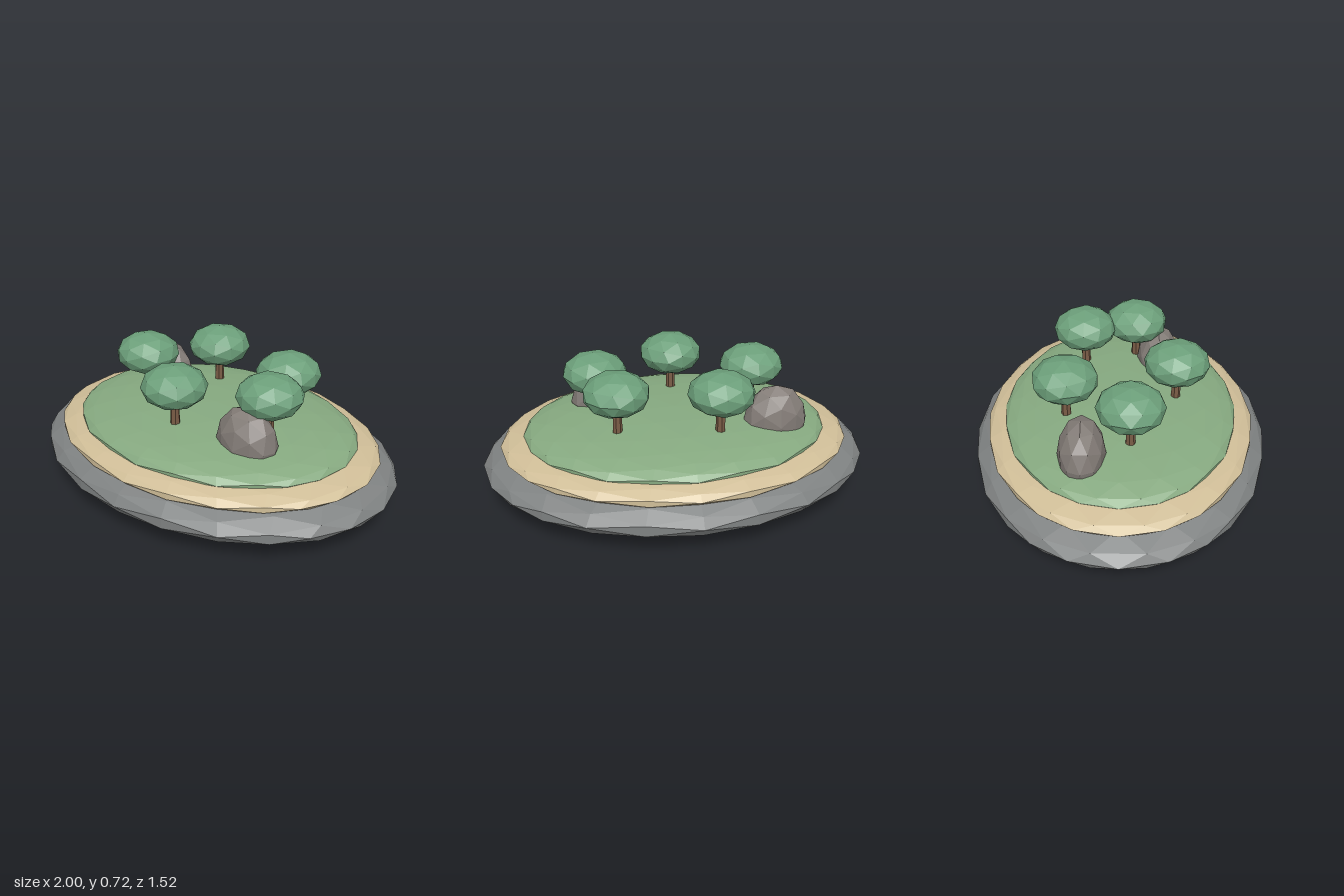
import * as THREE from 'three';

const material = (color) => new THREE.MeshStandardMaterial({ color, flatShading: true });
const mats = {
  stone: material(0x7f8282),
  sand: material(0xd0be98),
  grass: material(0x86a980),
  boulder: material(0x837c77),
  bark: material(0x7a5c46),
  leaves: material(0x6c9f7a),
};

// Faceted ellipsoid: a subdivided icosahedron stretched to three radii
function blob(name, mat, detail, [rx, ry, rz], [x, y, z], turn = 0) {
  const geometry = new THREE.IcosahedronGeometry(1, detail);
  geometry.rotateY(turn);
  geometry.scale(rx, ry, rz);
  const mesh = new THREE.Mesh(geometry, mat);
  mesh.name = name;
  mesh.position.set(x, y, z);
  return mesh;
}

// Tree: short tapered trunk under a flattened crown
function tree(x, z, turn) {
  const group = new THREE.Group();
  group.name = 'tree';
  const trunk = new THREE.Mesh(new THREE.CylinderGeometry(0.021, 0.026, 0.2, 7), mats.bark);
  trunk.name = 'trunk';
  trunk.position.y = 0.47;
  trunk.rotation.y = turn;
  group.add(trunk, blob('crown', mats.leaves, 1, [0.167, 0.107, 0.167], [0, 0.611, 0], turn));
  group.position.set(x, 0, z);
  return group;
}

export function createModel() {
  const island = new THREE.Group();
  island.name = 'island';

  // Three stacked layers of ground
  island.add(
    blob('stoneBase', mats.stone, 3, [1, 0.172, 0.76], [0, 0.172, 0]),
    blob('sandBeach', mats.sand, 3, [0.905, 0.1, 0.69], [0, 0.272, 0]),
    blob('grassTop', mats.grass, 3, [0.785, 0.1, 0.6], [0, 0.324, 0]),
  );

  // Two boulders
  for (const [x, z] of [[-0.485, -0.178], [0.36, 0.208]]) {
    island.add(blob('boulder', mats.boulder, 1, [0.165, 0.185, 0.117], [x, 0.4, z]));
  }

  // Five trees
  const trees = [
    [-0.413, 0.052, 0],
    [-0.18, -0.268, 0.5],
    [0.322, -0.19, 1.0],
    [0.4, 0.085, 0.2],
    [-0.025, 0.285, 0.8],
  ];
  for (const [x, z, turn] of trees) island.add(tree(x, z, turn));

  return island;
}
